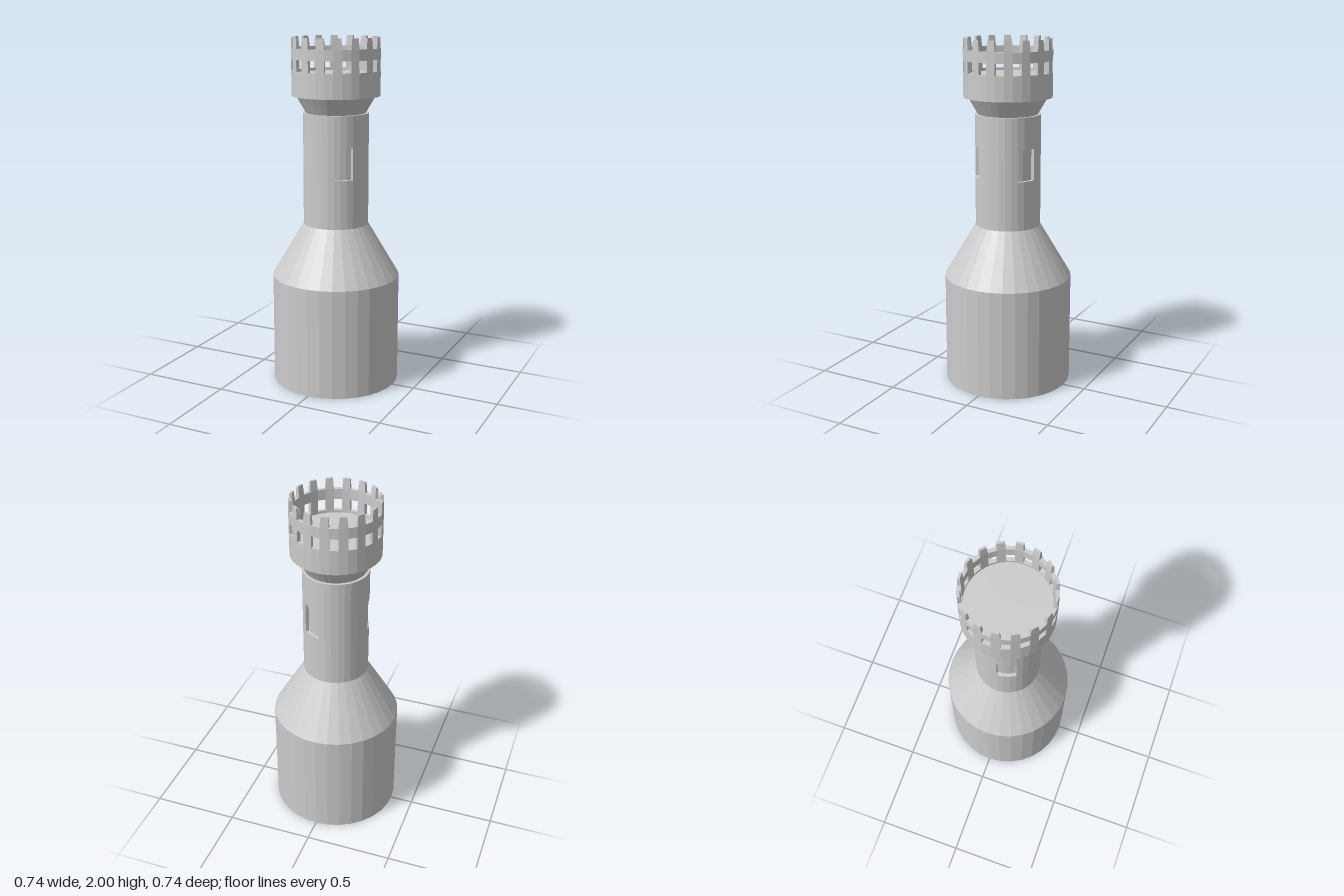
import * as THREE from 'three';

const SIDES = 32;
const STEP = (Math.PI * 2) / SIDES;
const material = new THREE.MeshStandardMaterial({ color: 0xcccccc, flatShading: true });

function addMesh(group, name, geometry) {
  const flat = geometry.index ? geometry.toNonIndexed() : geometry;
  flat.computeVertexNormals();
  const mesh = new THREE.Mesh(flat, material);
  mesh.name = name;
  group.add(mesh);
}

// Faceted turned part from [radius, height] pairs, listed bottom to top
function turned(profile) {
  return new THREE.LatheGeometry(profile.map(([r, y]) => new THREE.Vector2(r, y)), SIDES);
}

// Thick ring wall made of cells (side s, row r); filled(s, r) says which cells are solid.
// Faces are made only where a cell borders an opening. taper(row) narrows a row's top.
function cellWall(inner, outer, levels, filled, { innerFace = true, openTop = true, taper = () => 0 } = {}) {
  const positions = [];
  const quad = (a, b, c, d) => [a, b, c, a, c, d].forEach((p) => positions.push(...p));
  const rows = levels.length - 1;
  const solid = (s, r) => {
    if (r < 0) return true;
    if (r >= rows) return !openTop;
    return filled((s + SIDES) % SIDES, r);
  };
  for (let r = 0; r < rows; r++) {
    for (let s = 0; s < SIDES; s++) {
      if (!solid(s, r)) continue;
      // corner: side 0/1, out 0/1, up 0/1
      const corner = (side, out, up) => {
        const t = up ? taper(r) : 0;
        const radius = out ? outer - t * 0.6 : inner + t;
        const angle = (s + side) * STEP + (side ? -1 : 1) * t / outer;
        return [radius * Math.sin(angle), levels[r + up], radius * Math.cos(angle)];
      };
      const c = corner;
      quad(c(0, 1, 0), c(1, 1, 0), c(1, 1, 1), c(0, 1, 1));
      if (innerFace) quad(c(1, 0, 0), c(0, 0, 0), c(0, 0, 1), c(1, 0, 1));
      if (!solid(s, r + 1)) quad(c(0, 1, 1), c(1, 1, 1), c(1, 0, 1), c(0, 0, 1));
      if (!solid(s, r - 1)) quad(c(0, 0, 0), c(1, 0, 0), c(1, 1, 0), c(0, 1, 0));
      if (!solid(s + 1, r)) quad(c(1, 1, 0), c(1, 0, 0), c(1, 0, 1), c(1, 1, 1));
      if (!solid(s - 1, r)) quad(c(0, 0, 0), c(0, 1, 0), c(0, 1, 1), c(0, 0, 1));
    }
  }
  const geometry = new THREE.BufferGeometry();
  geometry.setAttribute('position', new THREE.Float32BufferAttribute(positions, 3));
  return geometry;
}

export function createModel() {
  const tower = new THREE.Group();
  tower.name = 'tower';

  // Wide drum and sloping shoulder
  addMesh(tower, 'base', turned([[0, 0], [0.368, 0], [0.368, 0.635]]));
  addMesh(tower, 'shoulder', turned([[0.368, 0.635], [0.187, 0.94]]));

  // Shaft, narrowed to a core behind the window band
  const shaftRadius = 0.187, coreRadius = 0.167, sill = 1.22, lintel = 1.4;
  addMesh(tower, 'shaft', turned([
    [shaftRadius, 0.94], [shaftRadius, sill], [coreRadius, sill],
    [coreRadius, lintel], [shaftRadius, lintel], [shaftRadius, 1.58], [0.165, 1.58],
  ]));

  // Wall between three recessed windows, each three sides wide
  const windowStarts = [2, 12, 24];
  addMesh(tower, 'windowBand', cellWall(coreRadius, shaftRadius, [sill, lintel],
    (s) => !windowStarts.some((w) => s >= w && s < w + 3), { innerFace: false, openTop: false }));

  // Flared collar under the crown
  addMesh(tower, 'collar', turned([[0.17, 1.58], [0.225, 1.675]]));

  // Crown drum with its floor
  const crownOuter = 0.251, crownInner = 0.23, floorY = 1.8;
  addMesh(tower, 'crownDrum', turned([[0.225, 1.675], [crownOuter, 1.675], [crownOuter, floorY]]));
  addMesh(tower, 'crownFloor', turned([[crownInner, floorY], [0, floorY]]));

  // Parapet: openings on odd sides, tapered merlons on even sides
  addMesh(tower, 'parapet', cellWall(crownInner, crownOuter, [floorY, 1.815, 1.88, 1.94, 2], (s, r) => {
    if (r === 1) return s % 2 === 0;
    if (r === 3) return s % 2 === 0;
    return true;
  }, { taper: (r) => (r === 3 ? 0.005 : 0) }));

  return tower;
}
